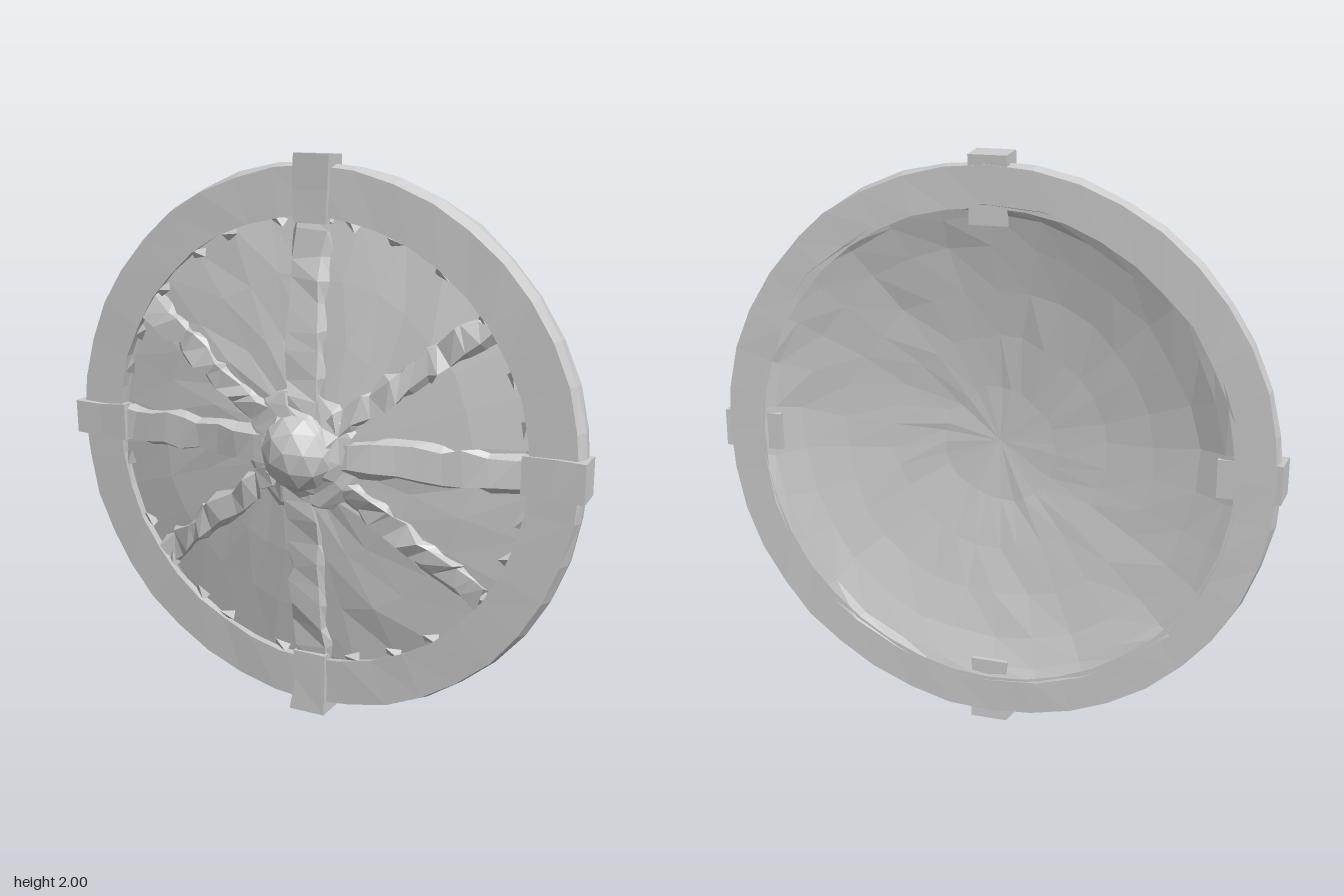
import * as THREE from 'three';

const CENTER_Y = 1;

// Repeatable noise in -1..1 from a position, so shared corners move together
function noise(x, y, z, k) {
  const r = (v) => Math.round(v * 500) / 500;
  const s = Math.sin(r(x) * 127.1 + r(y) * 311.7 + r(z) * 74.7 + k * 53.3) * 43758.5453;
  return (s - Math.floor(s)) * 2 - 1;
}

function roughen(geometry, ax, ay, az) {
  const p = geometry.attributes.position;
  for (let i = 0; i < p.count; i++) {
    const x = p.getX(i), y = p.getY(i), z = p.getZ(i);
    p.setXYZ(i, x + ax * noise(x, y, z, 1), y + ay * noise(x, y, z, 2), z + az * noise(x, y, z, 3));
  }
  geometry.computeVertexNormals();
  return geometry;
}

// Ring-shaped part turned about the z axis; profile is [radius, z]
function turned(profile, segments) {
  const pts = profile.map(([r, z]) => new THREE.Vector2(r, z));
  return new THREE.LatheGeometry(pts, segments).rotateX(Math.PI / 2);
}

// Front height of the domed face at a radius
const DOME = [[0, 0.02], [0.2, 0.01], [0.4, -0.016], [0.6, -0.045], [0.8, -0.085], [1.1, -0.11]];
function domeZ(r) {
  for (let i = 1; i < DOME.length; i++) {
    const [r0, z0] = DOME[i - 1], [r1, z1] = DOME[i];
    if (r <= r1) return z0 + ((z1 - z0) * (r - r0)) / (r1 - r0);
  }
  return DOME[DOME.length - 1][1];
}

// Hewn bar running out along +x, lofted from trapezoid sections
function ribGeometry(from, to, halfWidth, height, steps, seed, rough) {
  const pos = [], index = [];
  for (let i = 0; i <= steps; i++) {
    const r = from + ((to - from) * i) / steps;
    const n = (k) => noise(r, seed, i, k) * rough;
    const base = domeZ(r) - 0.012;
    const top = domeZ(r) + height;
    const w = halfWidth;
    pos.push(
      r, -w * (1 + 0.35 * n(1)), base,
      r + 0.02 * n(2), -w * (0.75 + 0.25 * n(3)), top + 0.01 * n(4),
      r + 0.02 * n(5), w * (0.75 + 0.25 * n(6)), top + 0.01 * n(7),
      r, w * (1 + 0.35 * n(8)), base
    );
    if (i === 0) continue;
    const a = (i - 1) * 4, b = i * 4;
    for (let j = 0; j < 4; j++) {
      const k = (j + 1) % 4;
      index.push(a + j, b + j, b + k, a + j, b + k, a + k);
    }
  }
  const e = steps * 4;
  index.push(0, 1, 2, 0, 2, 3, e, e + 2, e + 1, e, e + 3, e + 2);
  const g = new THREE.BufferGeometry();
  g.setAttribute('position', new THREE.Float32BufferAttribute(pos, 3));
  g.setIndex(index);
  g.computeVertexNormals();
  return g;
}

export function createModel() {
  const model = new THREE.Group();
  model.name = 'roundShield';
  const material = new THREE.MeshStandardMaterial({
    color: 0xcccccc, flatShading: true, side: THREE.DoubleSide,
  });
  const add = (name, geometry, angle = 0) => {
    const mesh = new THREE.Mesh(geometry, material);
    mesh.name = name;
    mesh.position.y = CENTER_Y;
    mesh.rotation.z = angle;
    model.add(mesh);
    return mesh;
  };

  // Domed face, front and hollow back
  add('domeFront', roughen(turned([...DOME.slice(0, 5), [0.84, -0.09]].reverse(), 30), 0.012, 0.012, 0.005));
  add('domeBack', roughen(
    turned([[0, -0.012], [0.2, -0.02], [0.38, -0.042], [0.55, -0.068], [0.7, -0.1], [0.8, -0.13], [0.85, -0.147]], 30),
    0.012, 0.012, 0.003));

  // Flat outer rim
  add('rim', roughen(
    turned([[0.83, -0.147], [0.965, -0.147], [0.972, -0.1], [0.958, -0.052], [0.795, -0.045], [0.805, -0.1]], 40),
    0.004, 0.004, 0.002));

  // Four broad arms, each with a clamp over the rim
  for (let i = 0; i < 4; i++) {
    const angle = (i * Math.PI) / 2;
    add('mainRib', ribGeometry(0.1, 0.82, 0.07, 0.027, 9, i + 1, 0.8), angle);
    const clamp = new THREE.BoxGeometry(0.22, 0.13, 0.112, 2, 1, 1);
    clamp.translate(0.88, 0, -0.091);
    const p = clamp.attributes.position;
    for (let v = 0; v < p.count; v++) {
      const x = p.getX(v), y = p.getY(v), z = p.getZ(v);
      // Worn corners on the front and outer end only
      if (z > -0.1) p.setXYZ(v, x, y + 0.012 * noise(x, y, i, 1), z + 0.005 * noise(x, y, i, 2));
      else if (x < 0.95) p.setZ(v, -0.14);
      if (x > 0.95) p.setX(v, (i % 2 ? 1.0 : 0.985) - (z > -0.1 ? 0 : 0.006));
    }
    clamp.computeVertexNormals();
    add('rimClamp', clamp, angle);
  }

  // Four narrow, ragged diagonal ribs
  [0.645, Math.PI - 0.59, Math.PI + 0.67, -0.63].forEach((angle, i) => {
    add('diagonalRib', ribGeometry(0.12, 0.79, 0.05, 0.02, 12, i + 11, 1.3), angle);
  });

  // Broken edge pieces against the inside of the rim
  for (let i = 0; i < 28; i++) {
    const angle = (i / 28) * Math.PI * 2 + 0.06 * noise(i, 3, 1, 1);
    const chip = new THREE.TetrahedronGeometry(0.032);
    chip.scale(0.8, 1.5, 0.5).rotateZ(noise(i, 1, 2, 2) * 0.6);
    chip.translate(0.785, 0, -0.07);
    add('rimChip', chip, angle);
  }

  // Hewn collar and faceted central boss
  add('collar', roughen(
    turned([[0.235, -0.005], [0.2, 0.028], [0.15, 0.04], [0.115, 0.07]], 13), 0.02, 0.02, 0.007));
  const boss = new THREE.IcosahedronGeometry(0.135, 1);
  boss.rotateX(0.4).rotateZ(0.3).scale(1, 1.04, 0.82);
  const b = boss.attributes.position;
  for (let v = 0; v < b.count; v++) b.setZ(v, Math.max(b.getZ(v) + 0.04, 0));
  boss.computeVertexNormals();
  add('boss', boss);

  return model;
}
